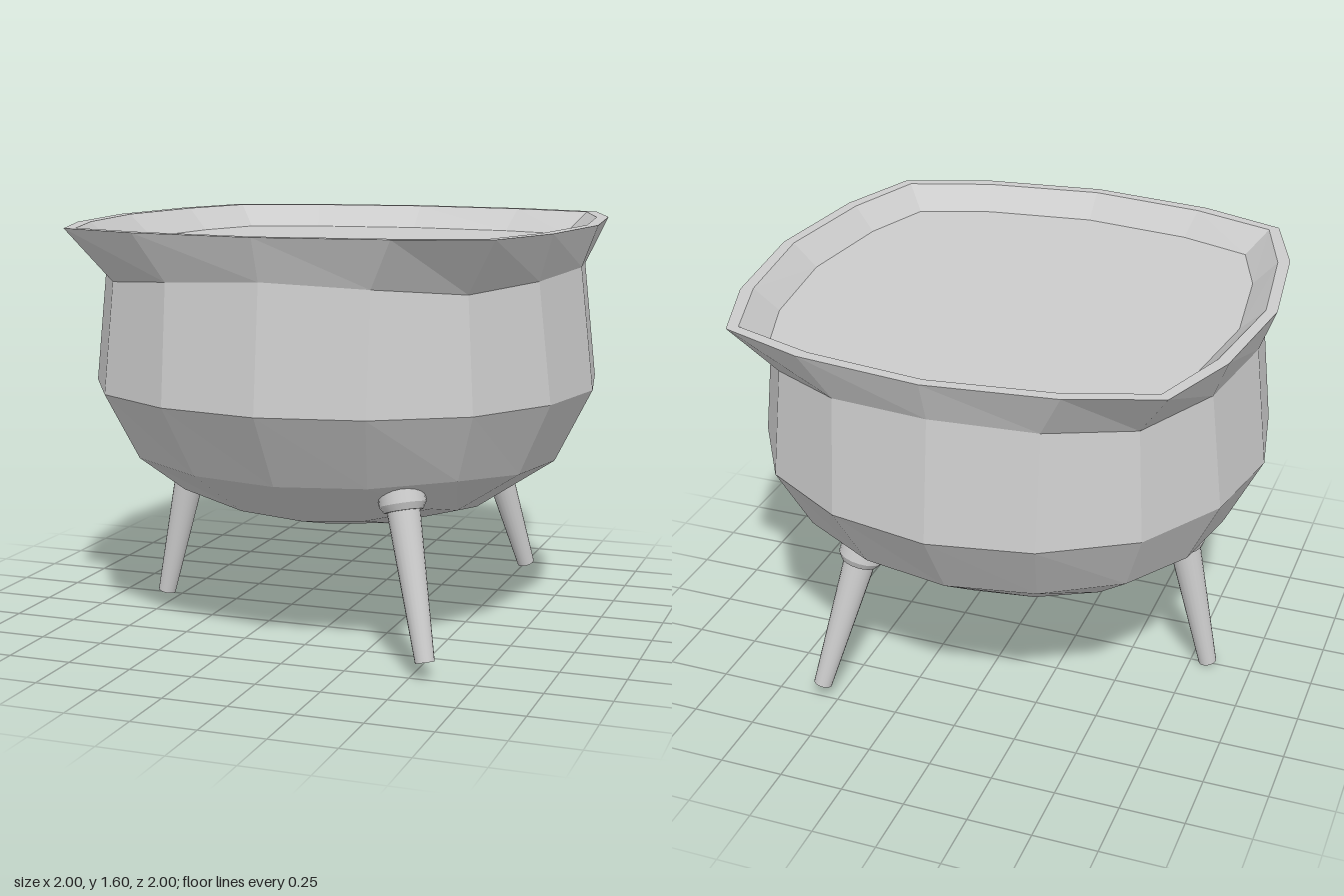
import * as THREE from 'three';

// Walk of 16 steps around the border of a 5 x 5 grid: +x side first, then +z
const WALK = [];
for (let j = -2; j < 2; j++) WALK.push([2, j]);
for (let i = 2; i > -2; i--) WALK.push([i, 2]);
for (let j = 2; j > -2; j--) WALK.push([-2, j]);
for (let i = -2; i < 2; i++) WALK.push([i, -2]);

// Rounded-square ring: side middle, point next to it (along, out) and corner
function ring(mid, along, out, corner, yMid, yNext, yCorner, zScale = 1) {
  const size = (a, b) => {
    if (Math.abs(a) === 2) return Math.sign(a) * [mid, out, corner][Math.abs(b)];
    return a * along;
  };
  return WALK.map(([i, j]) => {
    const y = [yMid, yNext, yCorner][Math.min(Math.abs(i), Math.abs(j))];
    return [size(i, j), y, size(j, i) * zScale];
  });
}

// Underside grid point on a flattened ball
function under(i, j) {
  const x = i * 0.27 * (1 - 0.0185 * j * j);
  const z = j * 0.265 * (1 - 0.0185 * i * i);
  const y = 0.97 - 0.585 * Math.sqrt(1 - x * x - z * z) + (j ? 0.02 : 0);
  return [x, y, z];
}

function flatGeometry(triangles) {
  const geo = new THREE.BufferGeometry();
  geo.setAttribute('position', new THREE.Float32BufferAttribute(triangles.flat(), 3));
  geo.computeVertexNormals();
  return geo;
}

function bands(rings) {
  const tris = [];
  for (let r = 0; r + 1 < rings.length; r++) {
    const lo = rings[r], hi = rings[r + 1];
    for (let k = 0; k < 16; k++) {
      const n = (k + 1) % 16;
      tris.push(lo[k], hi[k], hi[n], lo[k], hi[n], lo[n]);
    }
  }
  return tris;
}

export function createModel() {
  const model = new THREE.Group();
  model.name = 'cauldron';
  const grey = new THREE.MeshStandardMaterial({ color: 0xcccccc, flatShading: true });
  grey.name = 'grey';
  const smoothGrey = grey.clone();
  smoothGrey.flatShading = false;
  smoothGrey.name = 'smooth grey';

  const add = (parent, name, geo, mat) => {
    const mesh = new THREE.Mesh(geo, mat);
    mesh.name = name;
    parent.add(mesh);
    return mesh;
  };

  // Bowl: underside grid, then rings up to the neck
  const base = WALK.map(([i, j]) => under(i, j));
  const belly = ring(0.85, 0.34, 0.79, 0.635, 0.685, 0.69, 0.71, 0.955);
  const waist = ring(0.993, 0.39, 0.92, 0.72, 0.97, 0.97, 0.97);
  const neck = ring(0.94, 0.39, 0.87, 0.69, 1.44, 1.42, 1.395);
  const bowl = bands([base, belly, waist, neck]);
  for (let i = -2; i < 2; i++) {
    for (let j = -2; j < 2; j++) {
      const a = under(i, j), b = under(i + 1, j), c = under(i + 1, j + 1), d = under(i, j + 1);
      // diagonals run out from the centre
      if (i * 2 + 1 > 0 === j * 2 + 1 > 0) bowl.push(a, b, c, a, c, d);
      else bowl.push(a, b, d, b, c, d);
    }
  }
  add(model, 'bowl', flatGeometry(bowl), grey);

  // Flared rim with its lip and inner wall
  const rimOuter = ring(1, 0.485, 0.94, 0.82, 1.6, 1.6, 1.6);
  const rimInner = ring(0.957, 0.46, 0.897, 0.787, 1.6, 1.6, 1.6);
  const fillEdge = ring(0.863, 0.43, 0.81, 0.712, 1.51, 1.51, 1.51);
  add(model, 'rim', flatGeometry(bands([neck, rimOuter, rimInner, fillEdge])), grey);

  // Flat contents
  const fill = [];
  fillEdge.forEach((p, k) => fill.push(p, [0, 1.51, 0], fillEdge[(k + 1) % 16]));
  add(model, 'contents', flatGeometry(fill), grey);

  // Three splayed legs, each a tapered peg with a collar
  const legs = [
    ['rightLeg', [-0.82, 0.008, 0], [-0.69, 0.58, 0]],
    ['frontLeg', [0.56, 0.065, 0.75], [0.425, 0.63, 0.61]],
    ['backLeg', [0.56, 0.065, -0.75], [0.425, 0.63, -0.61]],
  ];
  for (const [name, foot, top] of legs) {
    const leg = new THREE.Group();
    leg.name = name;
    const start = new THREE.Vector3(...foot);
    const axis = new THREE.Vector3(...top).sub(start);
    const length = axis.length();
    leg.position.copy(start);
    leg.quaternion.setFromUnitVectors(new THREE.Vector3(0, 1, 0), axis.normalize());
    const peg = add(leg, 'peg', new THREE.CylinderGeometry(0.064, 0.036, length, 20), smoothGrey);
    peg.position.y = length / 2;
    const collar = add(leg, 'collar', new THREE.CylinderGeometry(0.088, 0.088, 0.06, 20), smoothGrey);
    collar.position.y = length + 0.01;
    const taper = add(leg, 'collarTaper', new THREE.CylinderGeometry(0.088, 0.072, 0.025, 20), smoothGrey);
    taper.position.y = length - 0.0325;
    model.add(leg);
  }
  return model;
}
